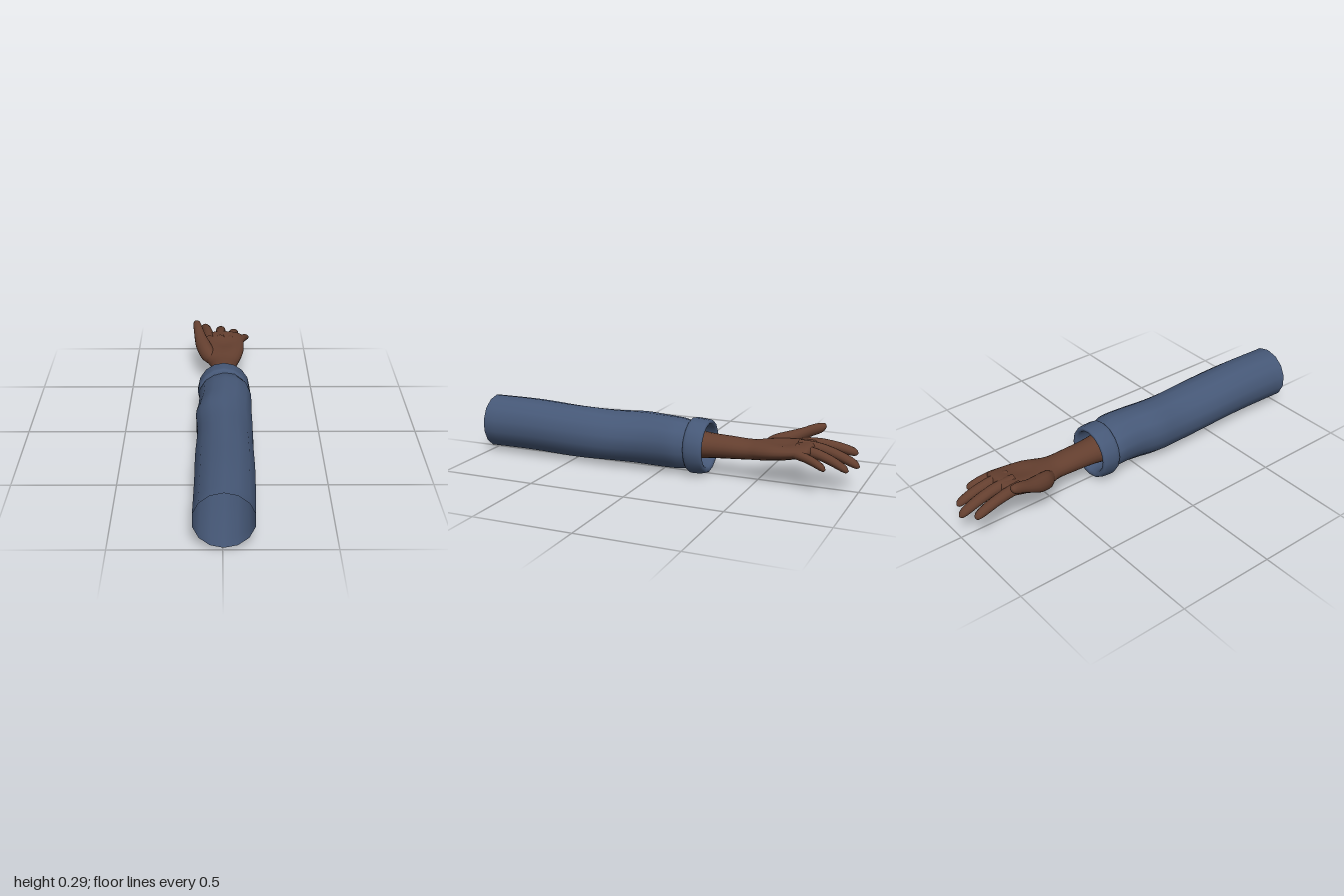
import * as THREE from 'three';

const sleeveBlue = new THREE.MeshStandardMaterial({ color: 0x465877, side: THREE.DoubleSide });
sleeveBlue.name = 'sleeveBlue';
const skinBrown = new THREE.MeshStandardMaterial({ color: 0x643f2f, side: THREE.DoubleSide });
skinBrown.name = 'skinBrown';

// Smooth skin over elliptical sections [z, centreX, centreY, radiusX, radiusY], swept towards -z.
// An optional rule moves each vertex.
function loft(name, material, sections, sides, steps, rule) {
  const centres = new THREE.CatmullRomCurve3(
    sections.map(([z, x, y]) => new THREE.Vector3(x, y, z)), false, 'catmullrom', 0.5);
  const radii = new THREE.CatmullRomCurve3(
    sections.map(s => new THREE.Vector3(s[3], s[4], 0)), false, 'catmullrom', 0.5);
  const rings = (sections.length - 1) * steps;
  const positions = [];
  const index = [];
  const p = new THREE.Vector3();
  for (let i = 0; i <= rings; i++) {
    const c = centres.getPoint(i / rings);
    const r = radii.getPoint(i / rings);
    for (let j = 0; j < sides; j++) {
      const a = (j / sides) * Math.PI * 2 + Math.PI / 2;
      p.set(c.x + Math.cos(a) * r.x, c.y + Math.sin(a) * r.y, c.z);
      if (rule) rule(p, a);
      positions.push(p.x, p.y, p.z);
      if (i === rings) continue;
      const k = (j + 1) % sides;
      const A = i * sides + j, B = i * sides + k;
      const D = A + sides, C = B + sides;
      index.push(A, D, B, B, D, C);
    }
  }
  const geometry = new THREE.BufferGeometry();
  geometry.setAttribute('position', new THREE.Float32BufferAttribute(positions, 3));
  geometry.setIndex(index);
  geometry.computeVertexNormals();
  const mesh = new THREE.Mesh(geometry, material);
  mesh.name = name;
  return mesh;
}

// Tapered finger with a rounded tip, arched upwards along its length
function finger(name, base, tip, radius, arch) {
  const profile = [[0, 0.95], [0.3, 1], [0.5, 0.95], [0.7, 0.92], [0.88, 0.8], [0.96, 0.55], [1, 0]];
  const sections = profile.map(([t, s]) => {
    const [x, y, z] = base.map((b, i) => b + (tip[i] - b) * t);
    return [z, x, y + arch * Math.sin(Math.PI * t), radius * s, radius * s * 0.95];
  });
  return loft(name, skinBrown, sections, 12, 3);
}

export function createModel() {
  const model = new THREE.Group();
  model.name = 'sleevedArm';

  // Open sleeve with slightly uneven cloth
  model.add(loft('sleeve', sleeveBlue, [
    [1, 0.005, 0.153, 0.138, 0.14],
    [0.75, 0.01, 0.155, 0.139, 0.139],
    [0.5, 0.012, 0.148, 0.14, 0.136],
    [0.28, 0.012, 0.145, 0.139, 0.133],
    [0.13, 0.006, 0.149, 0.141, 0.136],
    [0.02, 0.015, 0.152, 0.134, 0.135],
    [-0.08, 0.018, 0.153, 0.134, 0.131],
    [-0.13, 0.012, 0.15, 0.128, 0.124],
    [-0.165, 0.008, 0.15, 0.117, 0.115],
  ], 14, 4, (p, a) => {
    const fade = Math.max(0, Math.min(1, (0.8 - p.z) * 2));
    const fold = 0.004 * fade * Math.sin(3 * a + p.z * 9);
    p.x += Math.cos(a) * fold;
    p.y += Math.sin(a) * fold;
  }));

  // Rolled cuff, turned back inside the sleeve
  model.add(loft('cuff', sleeveBlue, [
    [-0.145, 0.01, 0.148, 0.118, 0.118],
    [-0.155, 0.01, 0.146, 0.133, 0.138],
    [-0.18, 0.01, 0.144, 0.137, 0.142],
    [-0.225, 0.01, 0.144, 0.136, 0.138],
    [-0.245, 0.01, 0.145, 0.13, 0.132],
    [-0.246, 0.01, 0.147, 0.115, 0.117],
    [-0.23, 0.01, 0.149, 0.105, 0.108],
    [-0.17, 0.01, 0.15, 0.104, 0.106],
    [-0.12, 0.01, 0.15, 0.118, 0.118],
  ], 16, 3));

  // Forearm, wrist and palm; the upward-facing palm is hollowed
  model.add(loft('forearmAndPalm', skinBrown, [
    [-0.08, 0.01, 0.15, 0.1, 0.09],
    [-0.16, 0.01, 0.15, 0.084, 0.075],
    [-0.25, 0.01, 0.152, 0.072, 0.063],
    [-0.36, 0.01, 0.154, 0.069, 0.056],
    [-0.46, 0.01, 0.156, 0.071, 0.05],
    [-0.52, 0.008, 0.162, 0.092, 0.05],
    [-0.59, 0.008, 0.172, 0.112, 0.051],
    [-0.67, 0.01, 0.182, 0.115, 0.046],
    [-0.74, 0.012, 0.192, 0.11, 0.037],
    [-0.775, 0.01, 0.195, 0.098, 0.027],
    [-0.79, 0.008, 0.195, 0, 0],
  ], 20, 3, (p, a) => {
    if (Math.sin(a) <= 0) return;
    const dx = (p.x - 0.02) / 0.06, dz = (p.z + 0.64) / 0.08;
    p.y -= 0.022 * Math.sin(a) * Math.exp(-dx * dx - dz * dz);
  }));

  // Four fingers, drooping towards their tips
  const fingers = new THREE.Group();
  fingers.name = 'fingers';
  fingers.add(
    finger('indexFinger', [-0.066, 0.2, -0.7], [-0.1, 0.165, -0.97], 0.029, 0.012),
    finger('middleFinger', [-0.008, 0.203, -0.7], [-0.003, 0.128, -1], 0.03, 0.02),
    finger('ringFinger', [0.048, 0.198, -0.7], [0.08, 0.125, -0.965], 0.028, 0.018),
    finger('littleFinger', [0.088, 0.188, -0.67], [0.145, 0.14, -0.87], 0.025, 0.012),
  );
  model.add(fingers);

  // Thumb rising from the side of the palm
  model.add(loft('thumb', skinBrown, [
    [-0.5, -0.05, 0.162, 0.015, 0.02],
    [-0.55, -0.075, 0.175, 0.04, 0.043],
    [-0.62, -0.1, 0.195, 0.043, 0.044],
    [-0.68, -0.12, 0.222, 0.034, 0.034],
    [-0.73, -0.132, 0.246, 0.027, 0.03],
    [-0.77, -0.14, 0.26, 0.023, 0.026],
    [-0.79, -0.143, 0.267, 0.016, 0.016],
    [-0.798, -0.143, 0.27, 0, 0],
  ], 14, 3));

  return model;
}
